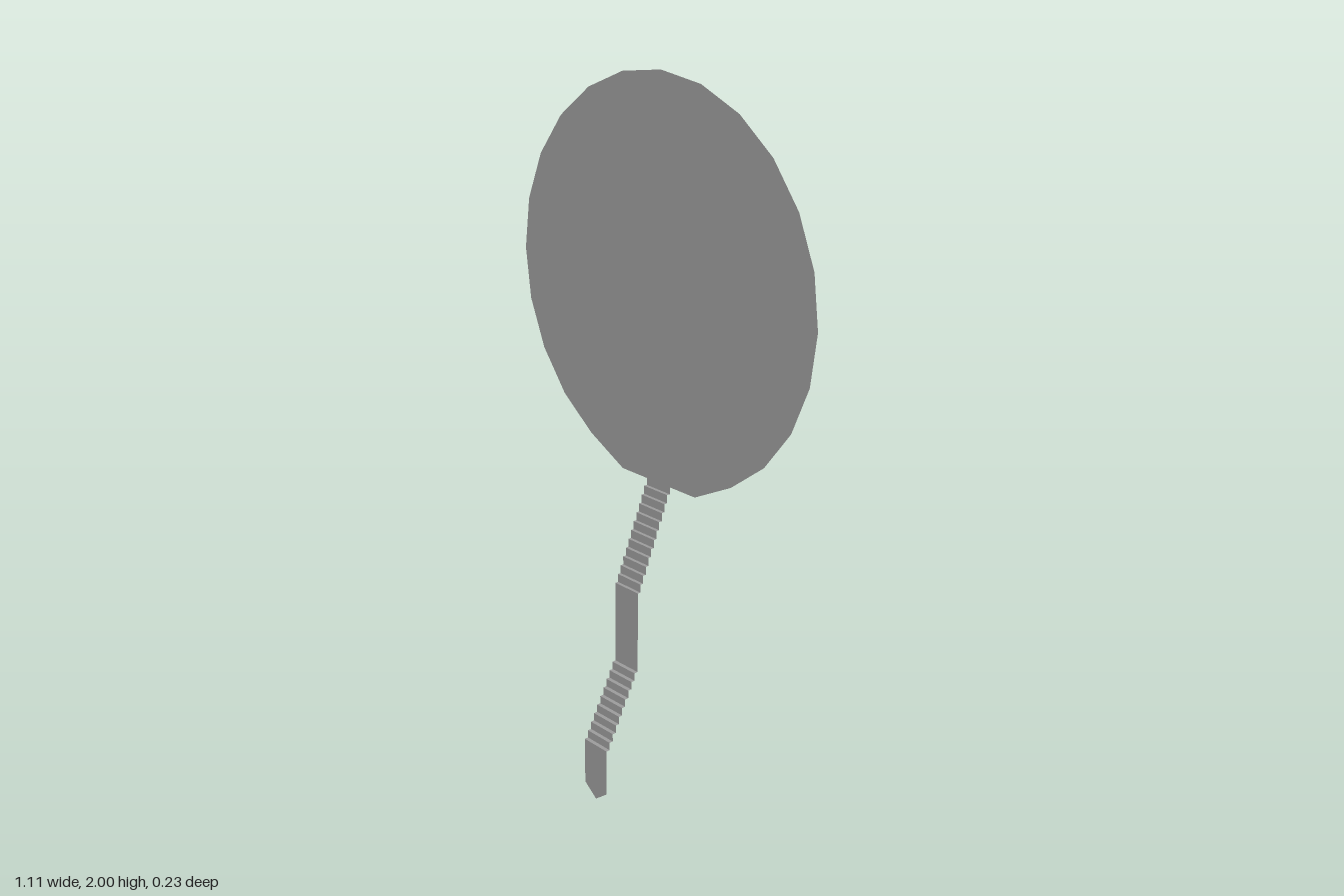
import * as THREE from 'three';

const X0 = -0.048, X1 = 0.044; // stem edges
const Z = 0.115;               // foot sits at +Z, top of the stem at -Z

// Thin sheet swept across the stem width from a side profile of [y, z] points
function ribbon(profile) {
  const pos = [], idx = [];
  profile.forEach(([y, z]) => pos.push(X0, y, z, X1, y, z));
  for (let i = 0; i < profile.length - 1; i++) {
    const a = i * 2;
    idx.push(a, a + 1, a + 3, a, a + 3, a + 2);
  }
  const indexed = new THREE.BufferGeometry();
  indexed.setAttribute('position', new THREE.Float32BufferAttribute(pos, 3));
  indexed.setIndex(idx);
  const geo = indexed.toNonIndexed();
  geo.computeVertexNormals();
  return geo;
}

// Stepped flight: each step is a flat tread going back, then a riser
function stairs(y0, y1, z0, z1, treads) {
  const pts = [[y0, z0]];
  for (let i = 0; i < treads; i++) {
    const y = y0 + (y1 - y0) * i / (treads - 1);
    const z = z0 + (z1 - z0) * (i + 1) / treads;
    if (i > 0) pts.push([y, pts[pts.length - 1][1]]);
    pts.push([y, z]);
  }
  return pts;
}

export function createModel() {
  const group = new THREE.Group();
  const material = new THREE.MeshStandardMaterial({
    color: 0x9c9c9c, flatShading: true, side: THREE.DoubleSide,
  });
  const add = (name, geo) => {
    const mesh = new THREE.Mesh(geo, material);
    mesh.name = name;
    group.add(mesh);
    return mesh;
  };

  // Round panel with a flat bottom edge, just in front of the stem's top
  const disc = new THREE.CircleGeometry(0.554, 24);
  const p = disc.attributes.position;
  for (let i = 0; i < p.count; i++) if (p.getY(i) < -0.5) p.setY(i, -0.548);
  add('disc', disc).position.set(0, 1.446, 0.003 - Z);

  // Stem: straight foot, lower steps, straight middle, upper steps
  add('lowerStraight', ribbon([[0.035, Z], [0.172, Z]]));
  add('lowerSteps', ribbon(stairs(0.172, 0.378, Z, 0, 10)));
  add('middleStraight', ribbon([[0.378, 0], [0.617, 0]]));
  add('upperSteps', ribbon([...stairs(0.617, 0.876, 0, -Z, 12), [0.908, -Z]]));

  // Pointed foot
  const tip = new THREE.Shape([
    new THREE.Vector2(X0, 0.035),
    new THREE.Vector2((X0 + X1) / 2, 0),
    new THREE.Vector2(X1, 0.035),
  ]);
  add('tip', new THREE.ShapeGeometry(tip)).position.z = Z;

  return group;
}
